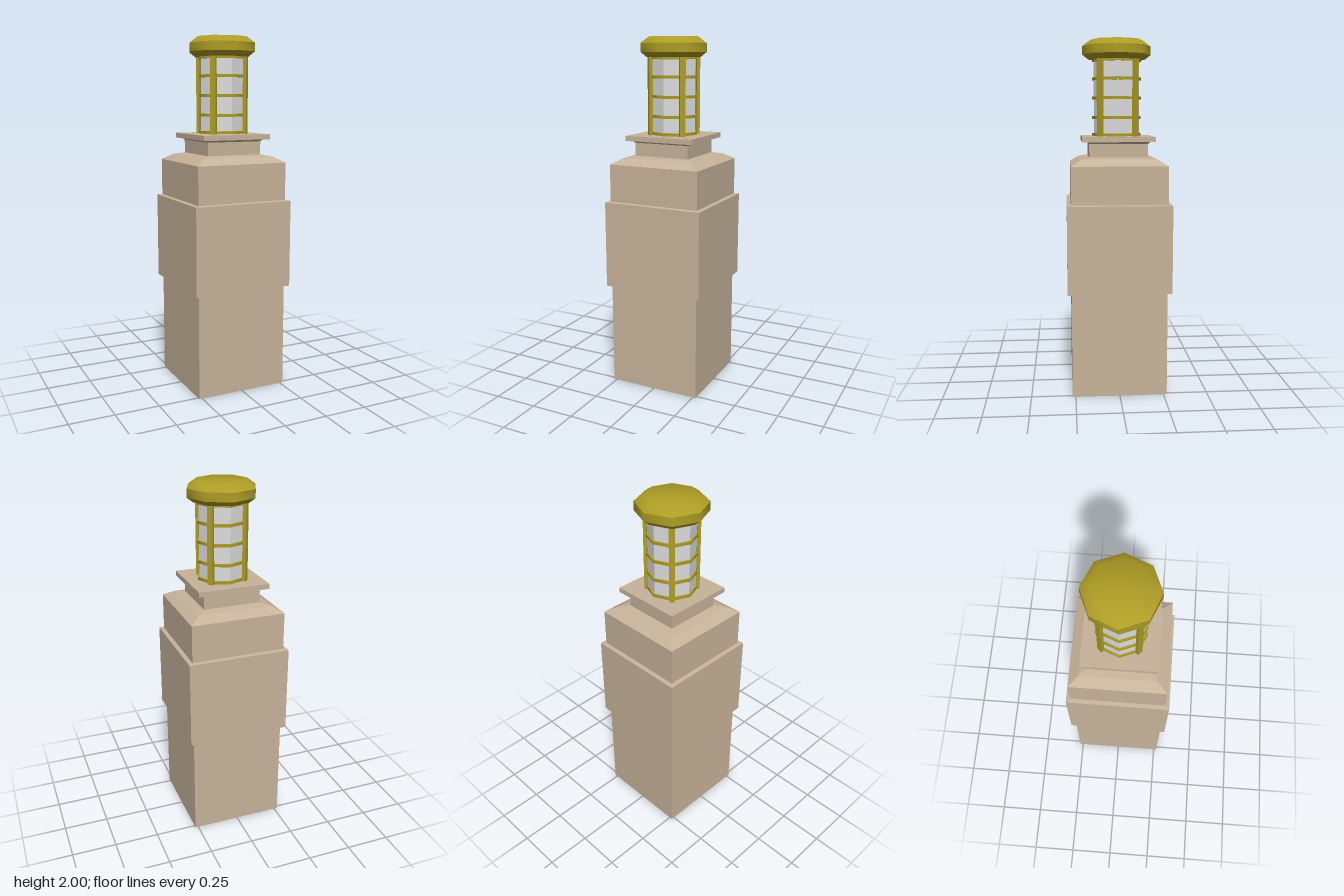
import * as THREE from 'three';
import { toCreasedNormals } from 'three/addons/utils/BufferGeometryUtils.js';

const stone = new THREE.MeshStandardMaterial({ color: 0xc6b299 });
stone.name = 'stone';
const brass = new THREE.MeshStandardMaterial({ color: 0xae9d25 });
brass.name = 'brass';
const glass = new THREE.MeshStandardMaterial({ color: 0xdcdcdc });
glass.name = 'glass';

// Sweeps a [radius, height] profile round the y axis, keeping sharp edges
function turned(profile, sides, phi, crease) {
  const points = profile.map(([r, y]) => new THREE.Vector2(r, y));
  return toCreasedNormals(new THREE.LatheGeometry(points, sides, phi), crease);
}

function add(parent, name, geometry, material) {
  const mesh = new THREE.Mesh(geometry, material);
  mesh.name = name;
  parent.add(mesh);
  return mesh;
}

// Square solid from [half width, height] steps, closed at both ends
function square(profile) {
  const steps = [[0, profile[0][1]], ...profile, [0, profile[profile.length - 1][1]]];
  return turned(steps.map(([h, y]) => [h * Math.SQRT2, y]), 4, Math.PI / 4, 0.1);
}

export function createModel() {
  const model = new THREE.Group();
  model.name = 'lanternPillar';

  // Stone pillar
  const pillar = new THREE.Group();
  pillar.name = 'pillar';
  model.add(pillar);
  add(pillar, 'shaft', square([[0.268, 0], [0.268, 0.595]]), stone);
  add(pillar, 'wideBlock', square([[0.268, 0.59], [0.291, 0.594], [0.291, 1.088], [0.268, 1.092]]), stone);
  add(pillar, 'shoulder', square([[0.268, 1.09], [0.268, 1.303], [0.213, 1.336], [0.163, 1.346]]), stone);
  add(pillar, 'neck', square([[0.163, 1.34], [0.163, 1.42], [0.175, 1.432]]), stone);
  add(pillar, 'capSlab', square([[0.203, 1.432], [0.203, 1.46]]), stone);

  // Lantern: octagonal glass, corner posts and hoops
  const lantern = new THREE.Group();
  lantern.name = 'lantern';
  model.add(lantern);
  add(lantern, 'glassPane', turned([[0, 1.46], [0.13, 1.46], [0.13, 1.89], [0, 1.89]], 8, 0, 0.1), glass);

  for (let i = 0; i < 4; i++) {
    const angle = Math.PI / 4 + i * Math.PI / 2;
    const post = add(lantern, 'post', new THREE.BoxGeometry(0.032, 0.43, 0.02), brass);
    post.position.set(Math.sin(angle) * 0.14, 1.675, Math.cos(angle) * 0.14);
    post.rotation.y = angle;
  }

  const hoop = turned([[0.12, -0.008], [0.14, -0.008], [0.14, 0.008], [0.12, 0.008], [0.12, -0.008]], 8, 0, 0.8);
  for (const y of [1.47, 1.566, 1.675, 1.783, 1.886]) {
    add(lantern, 'hoop', hoop, brass).position.y = y;
  }

  // Bevelled octagonal lid
  add(lantern, 'lid', turned([[0, 1.89], [0.16, 1.89], [0.195, 1.917], [0.195, 1.965], [0.146, 2], [0, 2]], 8, 0, 0.8), brass);

  return model;
}
